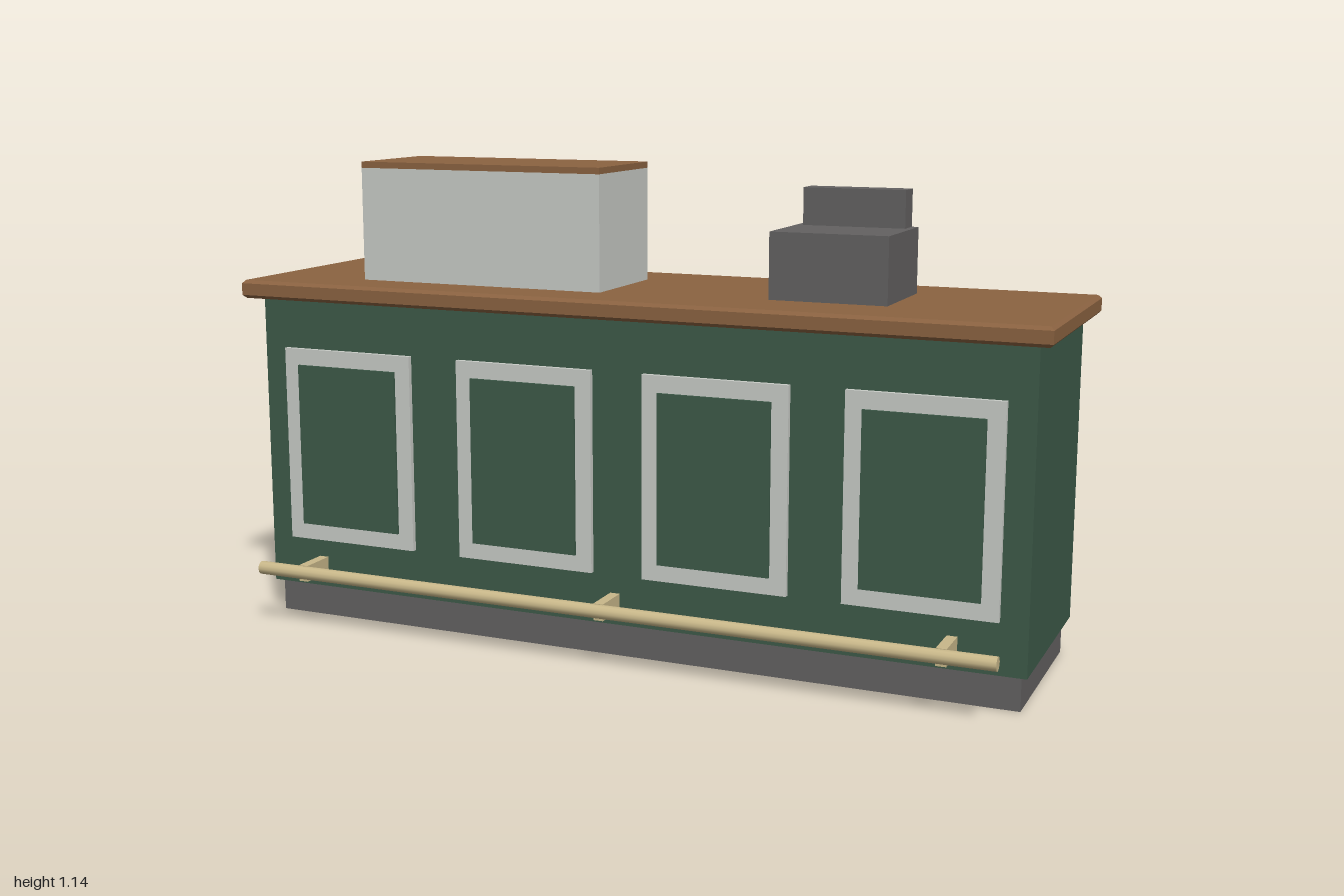
import * as THREE from 'three';

const material = (name, color) => {
  const m = new THREE.MeshStandardMaterial({ color });
  m.name = name;
  return m;
};

export function createModel() {
  const green = material('green paint', 0x3d5a49);
  const wood = material('brown wood', 0x8b6341);
  const grey = material('dark grey', 0x636161);
  const pale = material('pale grey', 0xc9ccc7);
  const brass = material('brass', 0xc9b88a);

  const model = new THREE.Group();
  model.name = 'counter';

  const add = (name, geometry, mat, parent = model) => {
    const mesh = new THREE.Mesh(geometry, mat);
    mesh.name = name;
    parent.add(mesh);
    return mesh;
  };
  const group = (name) => {
    const g = new THREE.Group();
    g.name = name;
    model.add(g);
    return g;
  };
  // Box given by its low and high limits on each axis
  const box = (name, mat, [x0, x1], [y0, y1], [z0, z1], parent) => {
    const mesh = add(name, new THREE.BoxGeometry(x1 - x0, y1 - y0, z1 - z0), mat, parent);
    mesh.position.set((x0 + x1) / 2, (y0 + y1) / 2, (z0 + z1) / 2);
    return mesh;
  };
  const rectangle = (Type, w, h) => new Type([
    new THREE.Vector2(-w / 2, -h / 2), new THREE.Vector2(w / 2, -h / 2),
    new THREE.Vector2(w / 2, h / 2), new THREE.Vector2(-w / 2, h / 2),
  ]);

  // Cabinet
  box('plinth', grey, [-0.95, 0.95], [0, 0.081], [-0.267, 0.178]);
  box('body', green, [-0.965, 0.965], [0.081, 0.811], [-0.291, 0.194]);

  // Countertop with chamfered edges
  const bevel = 0.008;
  const topGeometry = new THREE.ExtrudeGeometry(
    rectangle(THREE.Shape, 2 - 2 * bevel, 0.561 - 2 * bevel),
    { depth: 0.045 - 2 * bevel, bevelSize: bevel, bevelThickness: bevel, bevelSegments: 1 },
  );
  topGeometry.rotateX(-Math.PI / 2);
  add('countertop', topGeometry, wood).position.set(0, 0.81 + bevel, -0.0425);

  // Framed front panels
  const frameShape = rectangle(THREE.Shape, 0.354, 0.484);
  frameShape.holes.push(rectangle(THREE.Path, 0.274, 0.404));
  const frameGeometry = new THREE.ExtrudeGeometry(frameShape, { depth: 0.012, bevelEnabled: false });
  for (let i = 0; i < 4; i++) {
    const panel = group('frontPanel');
    panel.position.set((i - 1.5) * 0.4833, 0.445, 0.194);
    add('panelFrame', frameGeometry, pale, panel);
    box('panelInset', green, [-0.137, 0.137], [-0.202, 0.202], [0, 0.018], panel);
  }

  // Foot rail and its brackets
  const rail = group('footRail');
  const bar = add('railBar', new THREE.CylinderGeometry(0.0165, 0.0165, 1.85, 12), brass, rail);
  bar.rotation.z = Math.PI / 2;
  bar.position.set(0, 0.146, 0.3065);
  for (const x of [-0.803, 0, 0.803]) {
    box('railBracket', brass, [x - 0.012, x + 0.012], [0.124, 0.164], [0.214, 0.307], rail);
  }

  // Display case
  const display = group('displayCase');
  box('caseBody', pale, [-0.725, -0.084], [0.855, 1.13], [-0.171, 0.11], display);
  box('caseLid', wood, [-0.725, -0.084], [1.13, 1.145], [-0.171, 0.11], display);

  // Till
  const till = group('till');
  box('tillBase', grey, [0.321, 0.6], [0.855, 1.01], [-0.171, 0.072], till);
  box('tillDisplay', grey, [0.338, 0.584], [1.01, 1.098], [-0.171, -0.114], till);

  return model;
}
